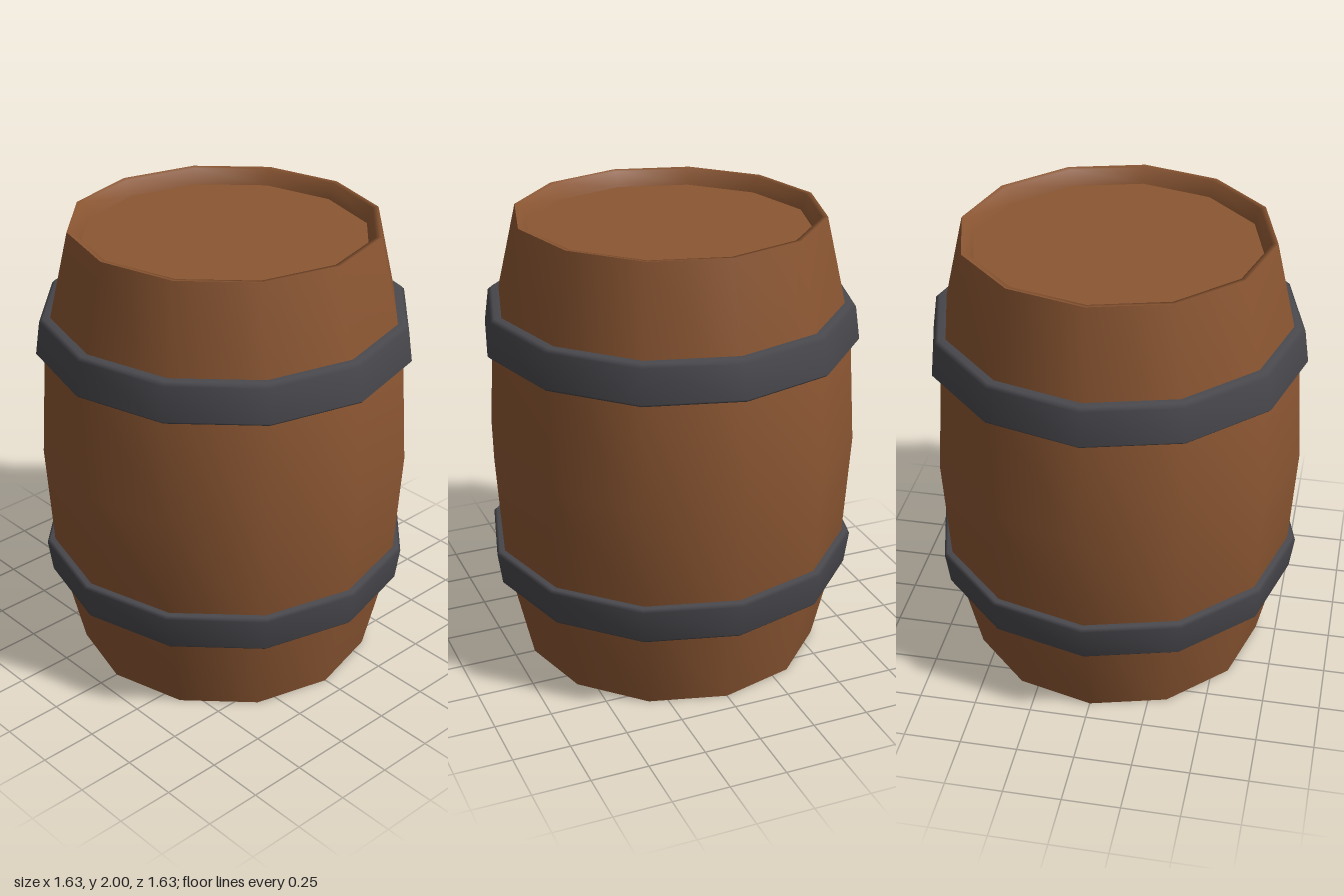
import * as THREE from 'three';

const SIDES = 12;

export function createModel() {
  const wood = new THREE.MeshStandardMaterial({ color: 0x8b5632 });
  wood.name = 'brown wood';
  const iron = new THREE.MeshStandardMaterial({ color: 0x48484d });
  iron.name = 'dark iron';

  const barrel = new THREE.Group();
  barrel.name = 'barrel';

  // Twelve-sided ring turned from a [radius, y] profile, smooth along its length
  const turn = (name, profile, material, parent) => {
    const points = profile.map(([r, y]) => new THREE.Vector2(r, y));
    const mesh = new THREE.Mesh(new THREE.LatheGeometry(points, SIDES), material);
    mesh.name = name;
    parent.add(mesh);
  };

  // Bulging staves
  turn('staves', [[0.66, 0], [0.775, 0.5], [0.806, 1], [0.775, 1.5], [0.66, 2]], wood, barrel);

  // Each end has a rim, a recessed head and a hoop; heights are relative to mid-height
  const addEnd = (prefix, flip) => {
    const end = new THREE.Group();
    end.name = prefix + 'End';
    end.position.y = 1;
    if (flip) end.rotation.x = Math.PI;

    turn(prefix + 'Rim', [[0.66, 1], [0.635, 0.997], [0.612, 0.93]], wood, end);
    turn(prefix + 'Head', [[0.615, 0.93], [0, 0.93]], wood, end);
    turn(prefix + 'Hoop', [
      [0.74, 0.455], [0.8, 0.455], [0.813, 0.468],
      [0.793, 0.612], [0.777, 0.627], [0.73, 0.627],
    ], iron, end);
    barrel.add(end);
  };
  addEnd('top', false);
  addEnd('bottom', true);

  return barrel;
}
